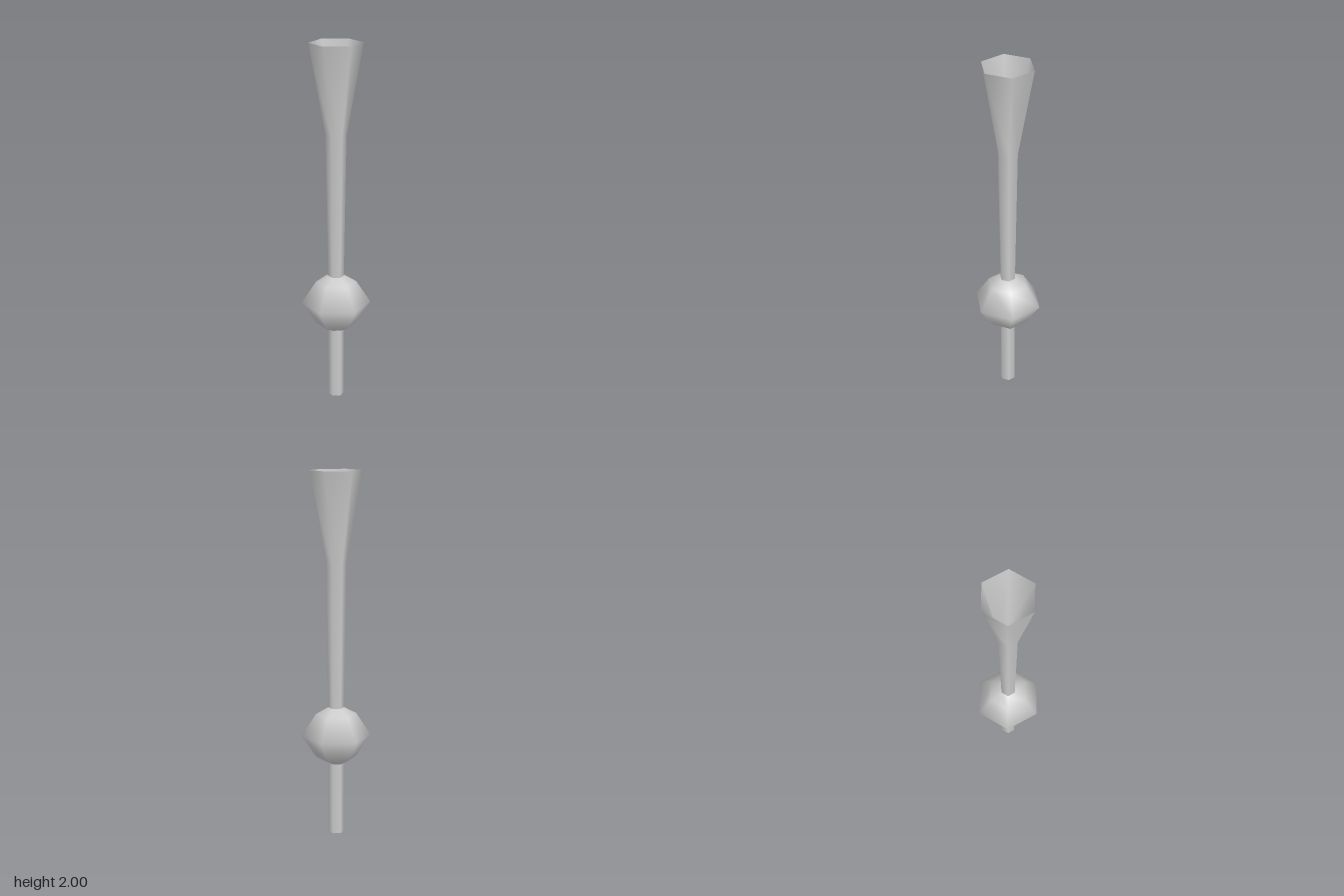
import * as THREE from 'three';

const material = new THREE.MeshStandardMaterial({ color: 0xcccccc, side: THREE.DoubleSide });

// Six-sided turned part from [radius, height] pairs, with corners on the x axis
function turned(name, profile) {
  const points = profile.map(([r, y]) => new THREE.Vector2(r, y));
  const mesh = new THREE.Mesh(new THREE.LatheGeometry(points, 6, Math.PI / 2), material);
  mesh.name = name;
  return mesh;
}

export function createModel() {
  const group = new THREE.Group();
  group.name = 'hornWithBulb';

  // Straight open pipe below the bulb
  group.add(turned('lowerPipe', [[0.043, 0], [0.043, 0.4]]));

  // Faceted bulb, closed at both poles
  const half = [[0.111, 0.122], [0.043, 0.158], [0, 0.17]];
  const centre = 0.56;
  group.add(turned('bulb', [
    ...half.map(([r, y]) => [r, centre - y]).reverse(),
    [0.19, centre],
    ...half.map(([r, y]) => [r, centre + y]),
  ]));

  // Slightly tapering neck that flares into an open bell
  group.add(turned('neckAndBell', [[0.043, 0.71], [0.056, 1.51], [0.143, 2]]));

  return group;
}
